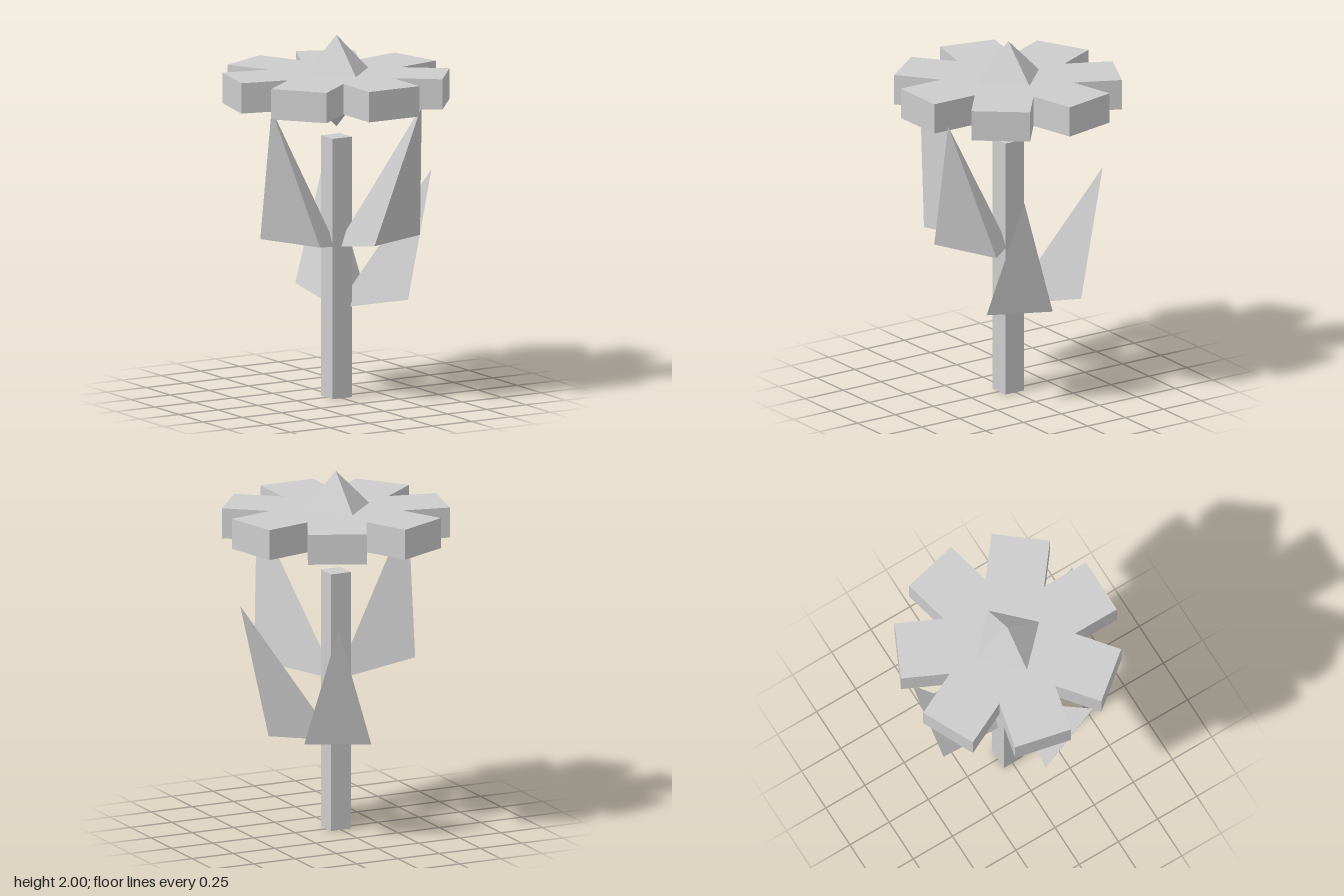
import * as THREE from 'three';
import { ConvexGeometry } from 'three/addons/geometries/ConvexGeometry.js';

export function createModel() {
  const model = new THREE.Group();
  model.name = 'flower';
  const grey = new THREE.MeshStandardMaterial({ color: 0xcccccc, flatShading: true });
  grey.name = 'light grey';

  const add = (name, geometry, y) => {
    const mesh = new THREE.Mesh(geometry, grey);
    mesh.name = name;
    mesh.position.set(0, y, 0.005);
    model.add(mesh);
    return mesh;
  };

  // Square stem
  add('stem', new THREE.BoxGeometry(0.122, 1.44, 0.122), 0.72);

  // Seven straight petals joined in one thick plate
  const petals = 7, halfWidth = 0.16, reach = 0.599;
  const notch = halfWidth / Math.sin(Math.PI / petals);
  const outline = [];
  for (let i = 0; i < petals; i++) {
    const a = -Math.PI / 2 + (i * 2 * Math.PI) / petals;
    const c = Math.cos(a), s = Math.sin(a);
    for (const side of [-1, 1]) {
      const w = side * halfWidth;
      outline.push(new THREE.Vector2(c * reach - s * w, s * reach + c * w));
    }
    const n = a + Math.PI / petals;
    outline.push(new THREE.Vector2(Math.cos(n) * notch, Math.sin(n) * notch));
  }
  const plate = new THREE.ExtrudeGeometry(new THREE.Shape(outline), { depth: 0.168, bevelEnabled: false });
  plate.rotateX(-Math.PI / 2);
  add('petals', plate, 1.63);

  // Diamond-shaped centre
  add('flowerCentre', new THREE.OctahedronGeometry(0.253), 1.747);

  // Leaves: tetrahedra growing from the stem axis towards local +z
  const leaf = new ConvexGeometry([
    new THREE.Vector3(0, 0, 0),
    new THREE.Vector3(0.204, 0.082, 0.415),
    new THREE.Vector3(-0.204, 0.082, 0.415),
    new THREE.Vector3(0, 0.848, 0.582),
  ]);
  const leaves = [
    ['upperLeaf', 0.828, 1, 21.2],
    ['upperLeaf', 0.828, 1, -68.8],
    ['lowerLeaf', 0.488, 0.893, 65],
    ['lowerLeaf', 0.488, 0.893, 155],
  ];
  for (const [name, y, scale, degrees] of leaves) {
    const mesh = add(name, leaf, y);
    mesh.scale.setScalar(scale);
    mesh.rotation.y = THREE.MathUtils.degToRad(degrees);
  }
  return model;
}
